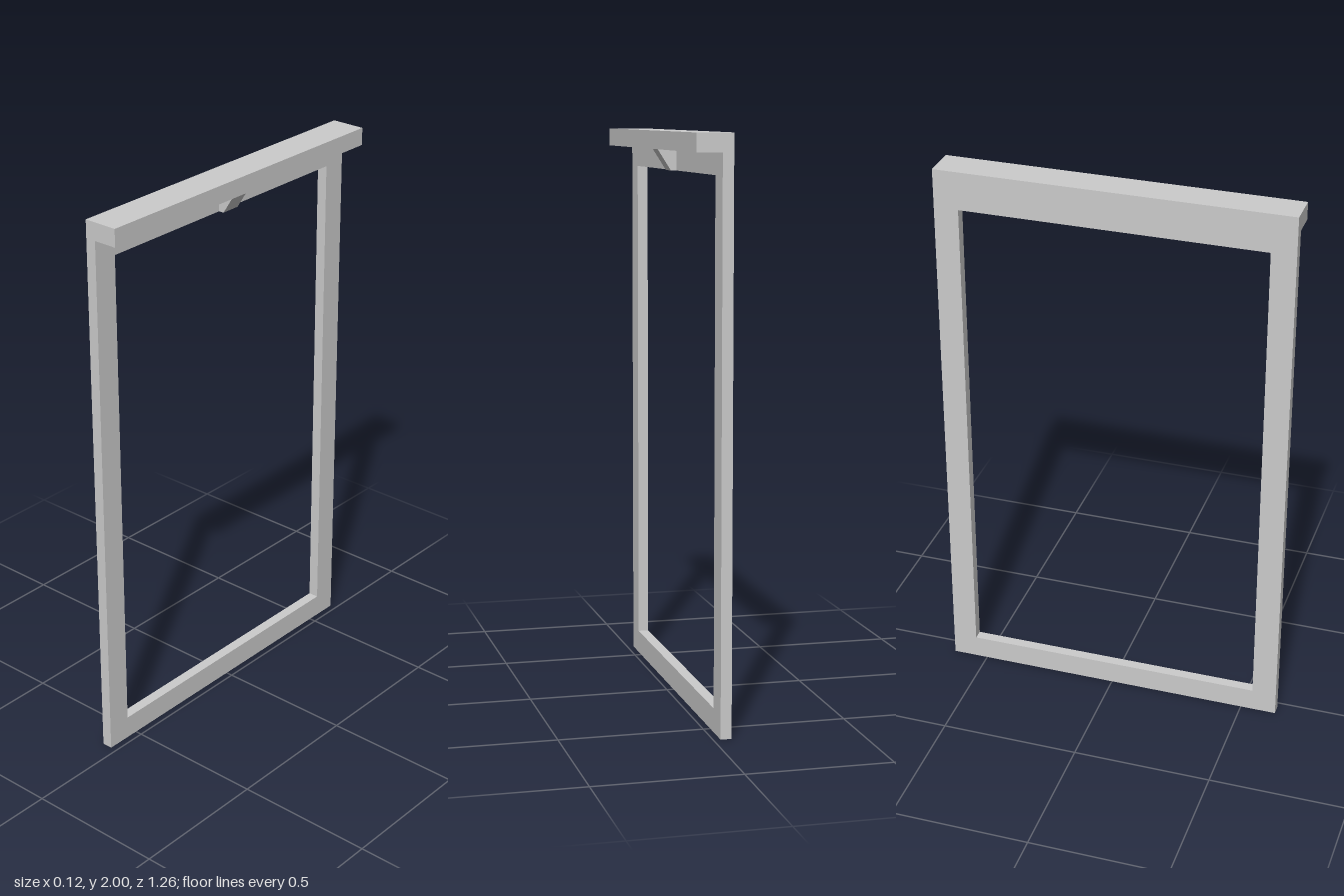
import * as THREE from 'three';

const HALF_DEPTH = 0.0625; // header, in x
const HALF_WIDTH = 0.63;   // whole frame, in z
const FRAME_T = 0.038;     // frame thickness, in x
const HEADER_Y = 1.937;    // underside of the header

export function createModel() {
  const group = new THREE.Group();
  const material = new THREE.MeshStandardMaterial({ color: 0xcccccc, flatShading: true });

  const add = (name, geometry) => {
    const mesh = new THREE.Mesh(geometry, material);
    mesh.name = name;
    group.add(mesh);
    return mesh;
  };
  const polygon = (points) => new THREE.Shape(points.map(([x, y]) => new THREE.Vector2(x, y)));
  const rectangle = (w, y0, y1) => polygon([[-w, y0], [w, y0], [w, y1], [-w, y1]]);

  // Upright frame with its rectangular opening, turned to face +x
  const frameShape = rectangle(HALF_WIDTH, 0, HEADER_Y);
  frameShape.holes.push(rectangle(0.542, 0.083, 1.862));
  const frame = new THREE.ExtrudeGeometry(frameShape, { depth: FRAME_T, bevelEnabled: false });
  frame.rotateY(Math.PI / 2).translate(-HALF_DEPTH, 0, 0);
  add('frame', frame);

  // Overhanging header along the top
  const headerH = 2 - HEADER_Y;
  add('header', new THREE.BoxGeometry(2 * HALF_DEPTH, headerH, 2 * HALF_WIDTH))
    .position.y = HEADER_Y + headerH / 2;

  // Small sloped bracket under the middle of the header
  const back = FRAME_T - HALF_DEPTH;
  const bracketShape = polygon([[back, 1.862], [-0.005, 1.862], [0.043, HEADER_Y], [back, HEADER_Y]]);
  const bracket = new THREE.ExtrudeGeometry(bracketShape, { depth: 0.072, bevelEnabled: false });
  add('bracket', bracket.translate(0, 0, -0.036));

  return group;
}
